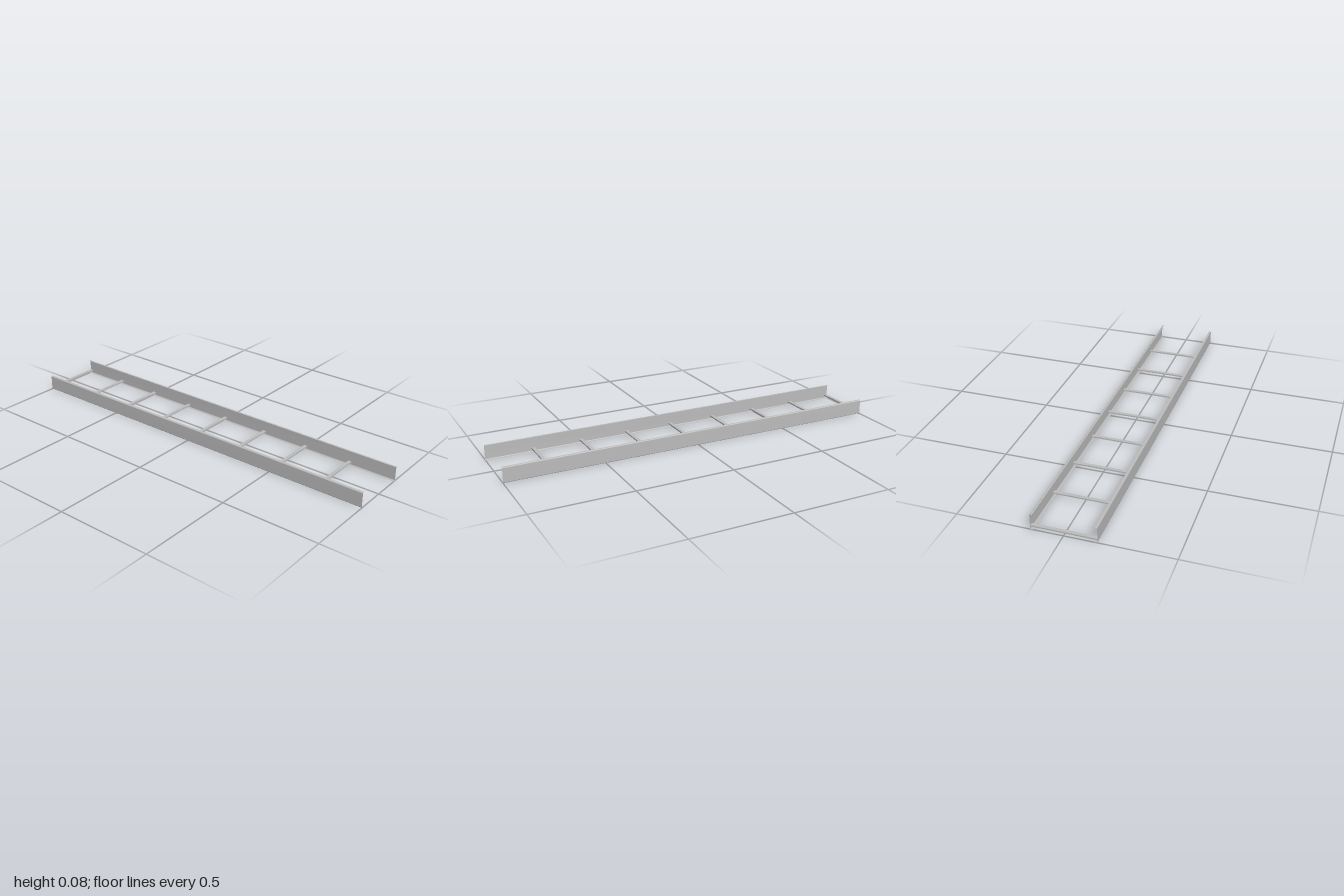
import * as THREE from 'three';

const HALF_WIDTH = 0.152;
const HEIGHT = 0.077;
const FLANGE = 0.012;
const BEND = 0.004;

// Open sheet-metal channel running along z, flanges turned inward; side is +1 or -1
function railGeometry(side) {
  const profile = [[FLANGE, 0]];
  for (const top of [false, true]) {
    for (let i = 0; i <= 4; i++) {
      const a = (i / 4) * Math.PI / 2;
      profile.push(top
        ? [BEND - BEND * Math.cos(a), HEIGHT - BEND + BEND * Math.sin(a)]
        : [BEND - BEND * Math.sin(a), BEND - BEND * Math.cos(a)]);
    }
  }
  profile.push([FLANGE, HEIGHT]);

  const positions = [];
  const indices = [];
  profile.forEach(([inset, y], i) => {
    const x = side * (HALF_WIDTH - inset);
    positions.push(x, y, 1, x, y, -1);
    if (i === 0) return;
    const a = 2 * i - 2, b = a + 1, c = a + 2, d = a + 3;
    if (side > 0) indices.push(a, b, c, b, d, c);
    else indices.push(a, c, b, b, c, d);
  });
  const geometry = new THREE.BufferGeometry();
  geometry.setAttribute('position', new THREE.Float32BufferAttribute(positions, 3));
  geometry.setIndex(indices);
  geometry.computeVertexNormals();
  return geometry;
}

export function createModel() {
  const group = new THREE.Group();
  group.name = 'ladderTray';
  const steel = new THREE.MeshStandardMaterial({ color: 0xbcbcbc, side: THREE.DoubleSide });
  steel.name = 'galvanised steel';

  // Side rails
  for (const side of [1, -1]) {
    const rail = new THREE.Mesh(railGeometry(side), steel);
    rail.name = side > 0 ? 'leftRail' : 'rightRail';
    group.add(rail);
  }

  // Evenly spaced flat rungs, starting flush with the back end
  const rungGeometry = new THREE.BoxGeometry(2 * HALF_WIDTH - 0.002, 0.007, 0.017);
  for (let i = 0; i < 8; i++) {
    const rung = new THREE.Mesh(rungGeometry, steel);
    rung.name = `rung${i + 1}`;
    rung.position.set(0, 0.016, -0.99 + 0.25 * i);
    group.add(rung);
  }
  return group;
}
